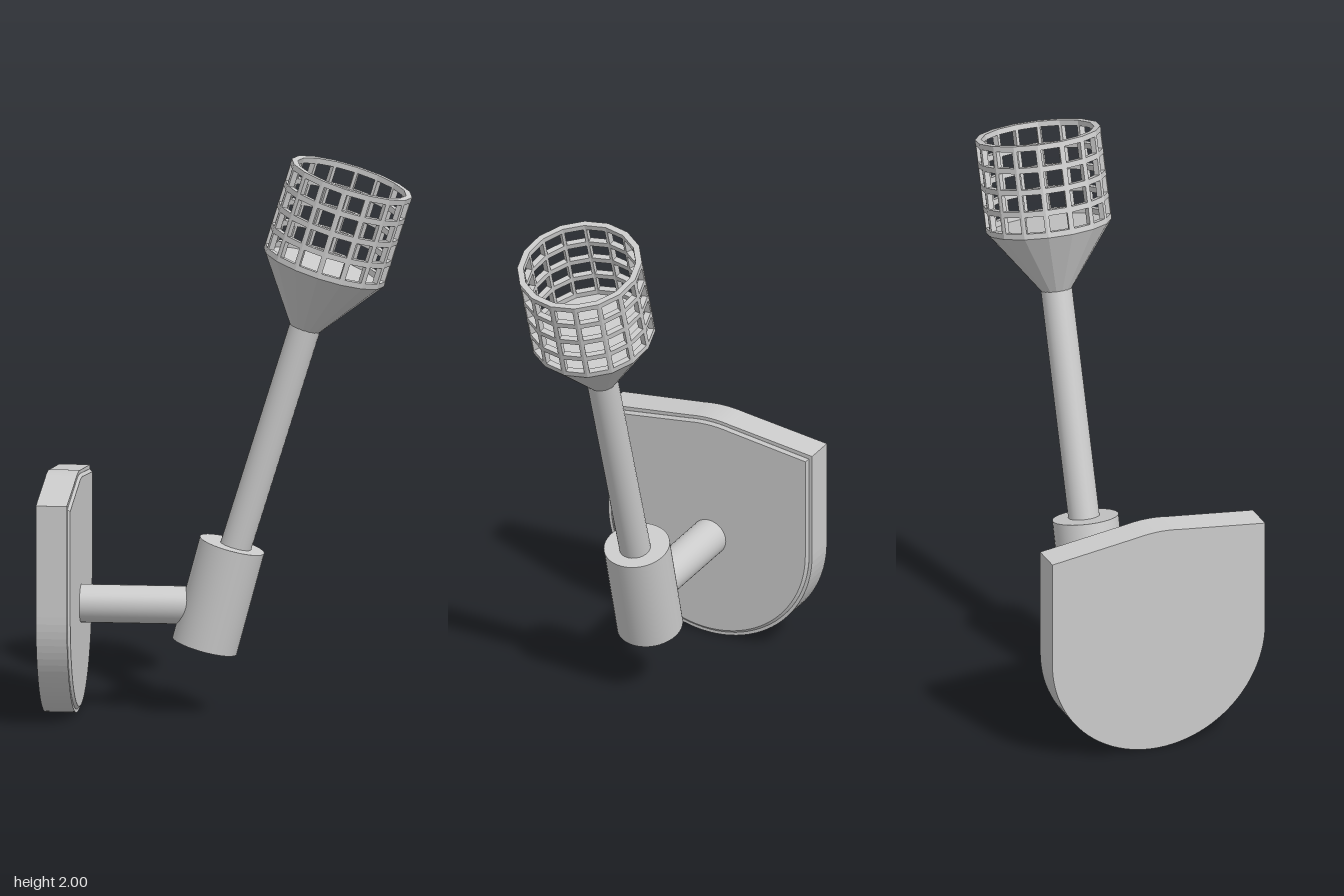
import * as THREE from 'three';

const smooth = new THREE.MeshStandardMaterial({ color: 0xcccccc });
const faceted = new THREE.MeshStandardMaterial({ color: 0xcccccc, flatShading: true });

function add(parent, name, geometry, material = smooth) {
  const mesh = new THREE.Mesh(geometry, material);
  mesh.name = name;
  parent.add(mesh);
  return mesh;
}

// Shield outline: round bottom, straight sides, shallow peaked top
function shieldShape(inset) {
  const r = 0.41 - inset, top = 0.81 - inset;
  const s = new THREE.Shape();
  s.moveTo(r, 0.41);
  s.lineTo(r, top);
  s.lineTo(0.08, top + 0.042);
  s.quadraticCurveTo(0, top + 0.056, -0.08, top + 0.042);
  s.lineTo(-r, top);
  s.lineTo(-r, 0.41);
  s.absarc(0, 0.41, r, Math.PI, Math.PI * 2, false);
  return s;
}

// One flat side of the basket, with a column of square windows
function basketPanel(width, height, depth, rows, bar) {
  const w = width / 2, s = new THREE.Shape();
  s.moveTo(-w, 0); s.lineTo(w, 0); s.lineTo(w, height); s.lineTo(-w, height); s.closePath();
  const pitch = (height - bar) / rows, hw = w - bar / 2;
  for (let i = 0; i < rows; i++) {
    const y0 = bar + i * pitch, y1 = (i + 1) * pitch;
    const hole = new THREE.Path();
    hole.moveTo(-hw, y0); hole.lineTo(-hw, y1); hole.lineTo(hw, y1); hole.lineTo(hw, y0);
    hole.closePath();
    s.holes.push(hole);
  }
  return new THREE.ExtrudeGeometry(s, { depth, bevelEnabled: false }).translate(0, 0, -depth);
}

export function createModel() {
  const model = new THREE.Group();
  model.name = 'wallTorch';

  // Wall plate with a thin bevelled face
  const plate = new THREE.Group();
  plate.name = 'wallPlate';
  plate.position.x = -0.65;
  plate.rotation.y = Math.PI / 2;
  model.add(plate);
  add(plate, 'plateBody', new THREE.ExtrudeGeometry(shieldShape(0),
    { depth: 0.11, bevelEnabled: false, curveSegments: 24 }));
  add(plate, 'plateFace', new THREE.ExtrudeGeometry(shieldShape(0.022), {
    depth: 0.11, curveSegments: 24, bevelEnabled: true,
    bevelThickness: 0.01, bevelSize: 0.01, bevelSegments: 1,
  }).translate(0, 0, 0.01).scale(1, 1, 0.12 / 0.13));

  // Horizontal arm
  const arm = add(model, 'arm', new THREE.CylinderGeometry(0.068, 0.068, 0.45, 32));
  arm.rotation.z = Math.PI / 2;
  arm.position.set(-0.325, 0.387, 0);

  // Tilted socket
  const socket = add(model, 'socket', new THREE.CylinderGeometry(0.118, 0.118, 0.378, 40));
  socket.rotation.z = -0.262;
  socket.position.set(-0.042, 0.425, 0);

  // Torch, with its origin at the foot of the cup
  const torch = new THREE.Group();
  torch.name = 'torch';
  torch.position.set(0.265, 1.393, 0);
  torch.rotation.z = -0.301;
  model.add(torch);
  add(torch, 'shaft', new THREE.CylinderGeometry(0.056, 0.056, 0.98, 24).translate(0, -0.48, 0));

  // Cup: closed cone that carries the basket
  const sides = 16, radius = 0.224, cupHeight = 0.23, basketHeight = 0.338;
  add(torch, 'cup', new THREE.CylinderGeometry(radius, 0.056, cupHeight, sides)
    .translate(0, cupHeight / 2, 0), faceted);

  // Basket of windowed panels
  const basket = new THREE.Group();
  basket.name = 'basket';
  basket.position.y = cupHeight;
  torch.add(basket);
  const half = Math.PI / sides;
  const panel = basketPanel(2 * radius * Math.sin(half), basketHeight, 0.022, 4, 0.02);
  for (let i = 0; i < sides; i++) {
    const a = (2 * i + 1) * half, d = radius * Math.cos(half);
    const mesh = add(basket, 'basketPanel', panel, faceted);
    mesh.position.set(Math.sin(a) * d, 0, Math.cos(a) * d);
    mesh.rotation.y = a;
  }
  return model;
}
